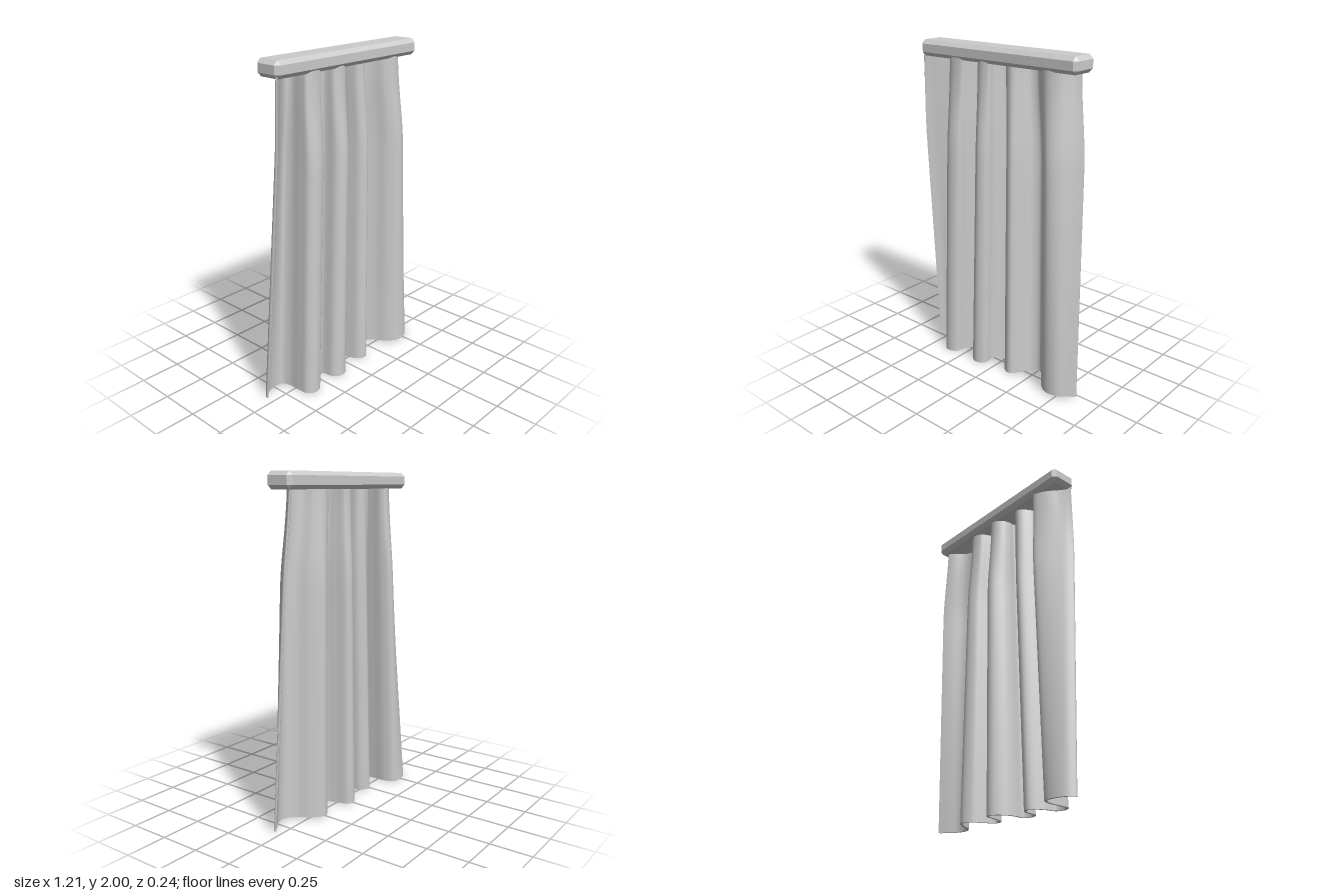
import * as THREE from 'three';
import { ParametricGeometry } from 'three/addons/geometries/ParametricGeometry.js';
import { ConvexGeometry } from 'three/addons/geometries/ConvexGeometry.js';

// Fold line of the hem, as [x, z] from the right edge (-x) to the left edge (+x)
const HEM = [
  [-0.605, -0.05], [-0.57, -0.09], [-0.5, -0.112], [-0.44, -0.103], [-0.415, -0.05], [-0.412, 0.03],
  [-0.405, 0.085], [-0.37, 0.112], [-0.315, 0.097], [-0.295, 0.03], [-0.24, -0.035], [-0.19, -0.005],
  [-0.168, 0.08], [-0.125, 0.108], [-0.075, 0.085], [-0.072, 0.02], [-0.055, -0.03], [-0.005, -0.08],
  [0.035, -0.073], [0.06, 0], [0.085, 0.06], [0.13, 0.078], [0.18, 0.02], [0.215, -0.04],
  [0.27, -0.06], [0.33, -0.01], [0.375, 0.06], [0.43, 0.1], [0.5, 0.1], [0.56, 0.06], [0.605, 0.028],
];
const TOP = 1.92, HALF_THICKNESS = 0.007;
const { smoothstep } = THREE.MathUtils;
const hemCurve = new THREE.CatmullRomCurve3(HEM.map(([x, z]) => new THREE.Vector3(x, 0, z)));
hemCurve.arcLengthDivisions = 600;

// Point on the cloth: u across, v up, side -1 (back) to 1 (front)
function clothPoint(u, v, side, target) {
  const p = hemCurve.getPointAt(u), t = hemCurve.getTangentAt(u);
  const x = p.x - t.z * side * HALF_THICKNESS;
  const z = p.z + t.x * side * HALF_THICKNESS;
  const gather = smoothstep(v, 0.72, 1);                       // tightening under the pelmet
  const s = THREE.MathUtils.clamp((x + 0.605) / 1.21, 0, 1);
  const left = 0.605 - 0.062 * v - 0.028 * gather;
  const right = -0.605 + 0.048 * v;
  const sway = 0.13 * v * Math.sin(Math.PI * s) * (1 - s) ** 2;
  // The right edge turns forward and the left edge backward towards the top
  const twist = 0.135 * v * (1 - smoothstep(s, 0, 0.17)) - 0.075 * v * smoothstep(s, 0.85, 1);
  const fold = z * (1 - 0.07 * v) + twist;
  const y0 = 0.002 + 0.014 * u * u;
  target.set(right + (left - right) * s + sway, y0 + (TOP - y0) * v,
    fold / (1 + 4.2 * gather * Math.abs(fold)));
}

function chamferedBox(w, h, d, c) {
  const pts = [];
  for (const sx of [-1, 1]) for (const sy of [-1, 1]) for (const sz of [-1, 1]) {
    const x = sx * w / 2, y = sy * h / 2, z = sz * d / 2;
    pts.push(new THREE.Vector3(x, y - sy * c, z - sz * c),
      new THREE.Vector3(x - sx * c, y, z - sz * c),
      new THREE.Vector3(x - sx * c, y - sy * c, z));
  }
  return new ConvexGeometry(pts);
}

export function createModel() {
  const model = new THREE.Group();
  model.name = 'curtain';
  const cloth = new THREE.MeshStandardMaterial({ color: 0xcccccc });
  const wood = new THREE.MeshStandardMaterial({ color: 0xcccccc, flatShading: true });

  // Pelmet box across the top
  const pelmet = new THREE.Mesh(chamferedBox(1.13, 0.095, 0.17, 0.023), wood);
  pelmet.position.y = 1.9525;
  pelmet.name = 'pelmet';
  model.add(pelmet);

  // Hanging cloth: two faces, two side edges and the hem
  const drape = new THREE.Group();
  drape.name = 'drape';
  const addSurface = (name, fn, across, up) => {
    const mesh = new THREE.Mesh(new ParametricGeometry(fn, across, up), cloth);
    mesh.name = name;
    drape.add(mesh);
  };
  addSurface('frontFace', (u, v, p) => clothPoint(u, v, 1, p), 160, 24);
  addSurface('backFace', (u, v, p) => clothPoint(1 - u, v, -1, p), 160, 24);
  addSurface('rightEdge', (u, v, p) => clothPoint(0, v, 2 * u - 1, p), 1, 24);
  addSurface('leftEdge', (u, v, p) => clothPoint(1, v, 1 - 2 * u, p), 1, 24);
  addSurface('hem', (u, v, p) => clothPoint(u, 0, 2 * v - 1, p), 160, 1);
  model.add(drape);
  return model;
}
